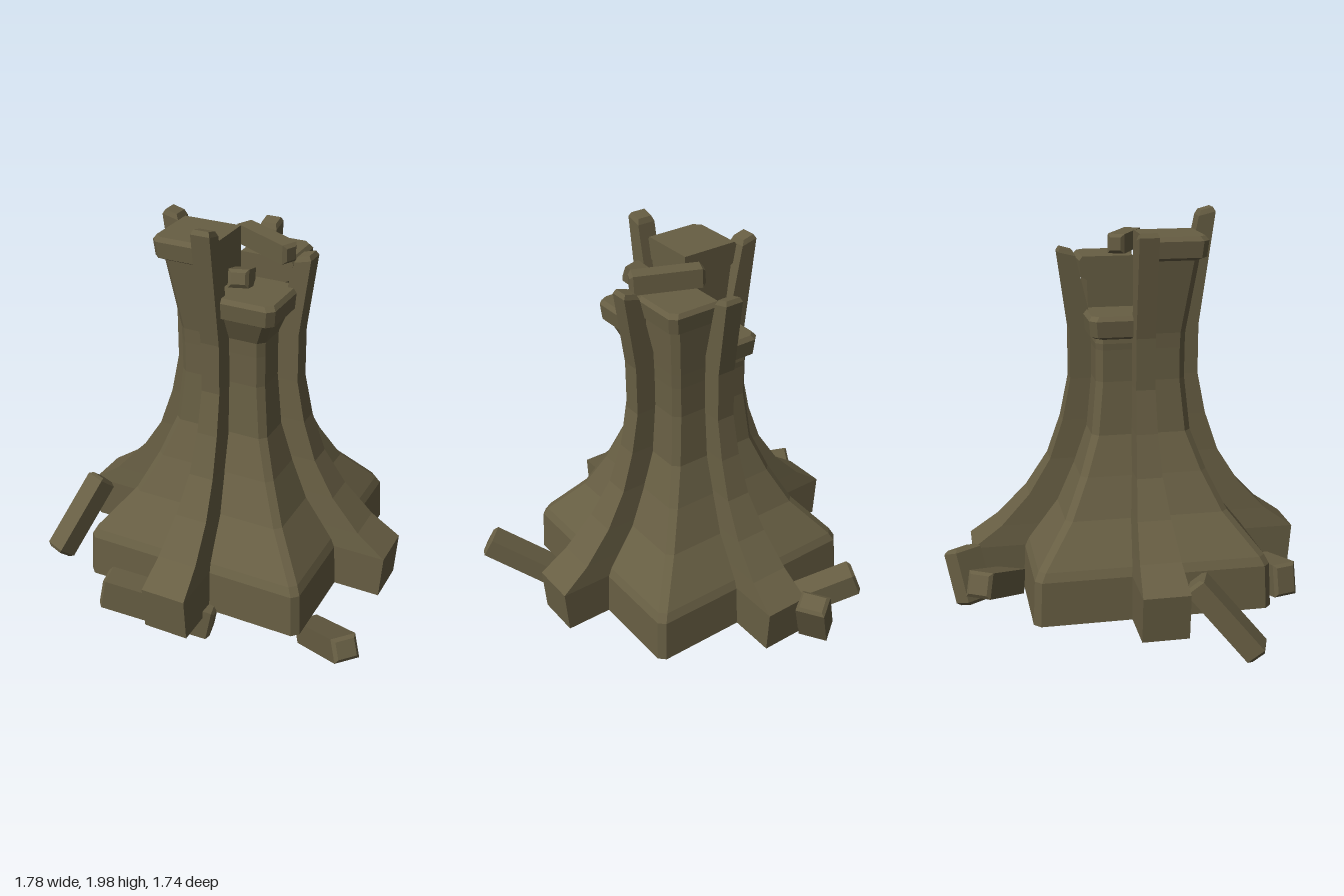
import * as THREE from 'three';

// Stone is open underneath, so both faces show
const stone = new THREE.MeshStandardMaterial({ color: 0x675e43, side: THREE.DoubleSide, flatShading: true });
stone.name = 'weathered stone';

const CX = 0.02, CZ = 0.06; // tower axis
const v = (x, y, z) => new THREE.Vector3(x, y, z);

// Skin a stack of rings (counter-clockwise seen from above), optionally closing the top
function loft(rings, capTop) {
  const pos = [];
  const tri = (a, b, c) => [a, b, c].forEach(p => pos.push(p.x, p.y, p.z));
  const n = rings[0].length;
  for (let i = 0; i < rings.length - 1; i++) {
    for (let j = 0; j < n; j++) {
      const k = (j + 1) % n;
      const a = rings[i][j], b = rings[i][k], c = rings[i + 1][k], d = rings[i + 1][j];
      tri(a, b, c);
      tri(a, c, d);
    }
  }
  if (capTop) {
    const top = rings[rings.length - 1];
    for (let j = 1; j < n - 1; j++) tri(top[0], top[j], top[j + 1]);
  }
  const g = new THREE.BufferGeometry();
  g.setAttribute('position', new THREE.Float32BufferAttribute(pos, 3));
  g.computeVertexNormals();
  return g;
}

// Square ring with cut corners
function squareRing(y, h, c = 0.03) {
  const e = h - c;
  return [[h, e], [h, -e], [e, -h], [-e, -h], [-h, -e], [-h, e], [-e, h], [e, h]]
    .map(([x, z]) => v(x, y, z));
}

// One quarter of the square ring, on the side given by the signs
function quarterRing(y, h, sx, sz, c = 0.03) {
  const pts = [[0, 0], [h, 0], [h, h - c], [h - c, h], [0, h]].map(([x, z]) => v(x * sx, y, z * sz));
  return sx * sz < 0 ? pts : pts.reverse();
}

export function createModel() {
  const model = new THREE.Group();
  model.name = 'ruinedTower';
  const tower = new THREE.Group();
  tower.name = 'tower';
  tower.position.set(CX, 0, CZ);
  model.add(tower);

  const add = (parent, geometry, name) => {
    const m = new THREE.Mesh(geometry, stone);
    m.name = name;
    parent.add(m);
    return m;
  };

  // Flared hollow body
  const body = [[0.19, 0.56], [0.40, 0.55], [0.44, 0.53], [0.62, 0.385], [0.80, 0.30], [0.98, 0.235], [1.23, 0.21], [1.38, 0.21]];
  add(tower, loft(body.map(([y, h]) => squareRing(y, h)), false), 'body');

  // Broken crown: four quarters of different height, each with a rim
  const quarters = [
    ['frontLeftCrown', 1, 1, 1.67, 0.295],
    ['frontRightCrown', -1, 1, 1.90, 0.295],
    ['backLeftCrown', 1, -1, 1.78, 0.255],
    ['backRightCrown', -1, -1, 1.54, 0.245],
  ];
  for (const [name, sx, sz, top, rim] of quarters) {
    const profile = [
      [1.38, 0.21], [Math.min(1.45, top - 0.13), 0.212], [top - 0.11, rim - 0.035],
      [top - 0.095, rim - 0.007], [top - 0.02, rim], [top, rim - 0.015],
    ];
    add(tower, loft(profile.map(([y, h]) => quarterRing(y, h, sx, sz)), true), name);
  }

  // Four buttress ribs: height, outer reach, inner reach, half width
  const ribProfile = [
    [0.19, 0.785, 0.55, 0.108], [0.405, 0.80, 0.54, 0.108], [0.505, 0.66, 0.46, 0.095],
    [0.653, 0.52, 0.36, 0.078], [0.82, 0.415, 0.285, 0.06], [1.01, 0.35, 0.222, 0.05],
    [1.21, 0.31, 0.20, 0.045], [1.45, 0.31, 0.20, 0.045],
  ];
  const ribs = [['frontRib', 0, 2.0], ['leftRib', 1, 1.83], ['backRib', 2, 1.83], ['rightRib', 3, 1.93]];
  for (const [name, turn, top] of ribs) {
    const out = 0.31 + (top - 1.45) * 0.13;
    const rings = ribProfile.map(([y, o, i, w]) => [v(w, y, o), v(w, y, i), v(-w, y, i), v(-w, y, o)]);
    const tip = (y, o, i, w, drop) =>
      [v(w, y, o), v(w, y - drop, i), v(-w, y - drop, i), v(-w, y, o)];
    rings.push(tip(top - 0.02, out, out - 0.08, 0.045, 0.02));
    rings.push(tip(top, out - 0.012, out - 0.068, 0.036, 0.015));
    add(tower, loft(rings, true), name).rotation.y = turn * Math.PI / 2;
  }

  // Loose bevelled blocks: centre, long axis direction, width, height, length
  const block = (name, centre, dir, w, h, length, b = 0.015) => {
    const x = w / 2 - b, y = h / 2 - b;
    const s = new THREE.Shape([[-x, -y], [x, -y], [x, y], [-x, y]].map(p => new THREE.Vector2(...p)));
    const g = new THREE.ExtrudeGeometry(s, {
      depth: length - 2 * b, bevelEnabled: true, bevelThickness: b, bevelSize: b, bevelSegments: 1,
    });
    g.center();
    const m = add(model, g, name);
    m.position.set(...centre);
    m.lookAt(v(...centre).add(v(...dir)));
  };
  // Rubble round the base
  block('rightRubble', [-0.77, 0.28, 0.335], [0.11, 0.33, -0.28], 0.11, 0.10, 0.44);
  block('frontRubble', [-0.11, 0.19, 0.68], [0.5, -0.10, -0.12], 0.12, 0.16, 0.55);
  block('leftRubble', [0.69, 0.175, 0.545], [0.28, 0.20, 0.26], 0.12, 0.11, 0.48);
  block('backRubble', [-0.24, 0.29, -0.64], [0.35, -0.15, 0.19], 0.12, 0.12, 0.44);
  block('backUprightRubble', [-0.13, 0.29, -0.77], [0.08, 0.24, -0.05], 0.14, 0.11, 0.27);
  // Fallen pieces lodged in the crown
  block('crownBeam', [0.135, 1.835, 0.04], [0.30, -0.01, 0.14], 0.08, 0.09, 0.34);
  block('crownChip', [0.10, 1.725, 0.21], [0.08, 0.09, 0.23], 0.09, 0.08, 0.29);

  return model;
}
